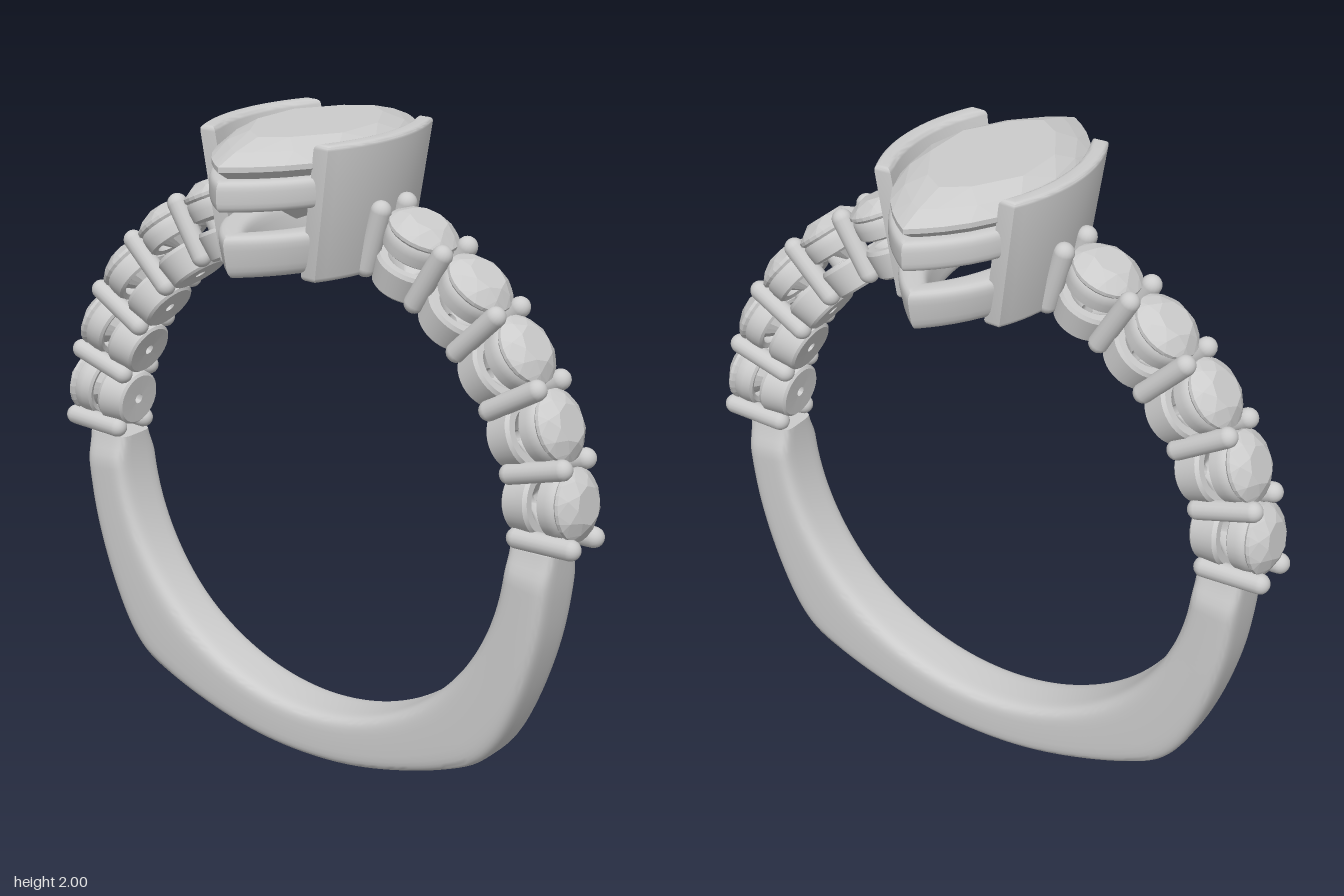
import * as THREE from 'three';
import { toCreasedNormals } from 'three/addons/utils/BufferGeometryUtils.js';
import { ConvexGeometry } from 'three/addons/geometries/ConvexGeometry.js';

const CY = 0.89;       // height of the finger hole's centre
const INNER = 0.73;    // finger hole radius
const W = 0.235, L = 0.45; // half width and half length of the pointed oval
const material = new THREE.MeshStandardMaterial({ color: 0xcccccc });
const V = (x, y, z) => new THREE.Vector3(x, y, z);
const rad = THREE.MathUtils.degToRad;

function addMesh(parent, name, geometry) {
  const mesh = new THREE.Mesh(geometry, material);
  mesh.name = name;
  parent.add(mesh);
  return mesh;
}

// Skin a list of closed rings that all have the same number of points
function loft(rings, closed, crease) {
  const n = rings[0].length, index = [];
  const count = closed ? rings.length : rings.length - 1;
  for (let i = 0; i < count; i++) {
    const k = (i + 1) % rings.length;
    for (let j = 0; j < n; j++) {
      const m = (j + 1) % n;
      const a = i * n + j, b = i * n + m, c = k * n + m, d = k * n + j;
      index.push(a, b, d, b, c, d);
    }
  }
  const g = new THREE.BufferGeometry().setFromPoints(rings.flat());
  g.setIndex(index);
  return toCreasedNormals(g, crease);
}

// Rounded rectangle as a superellipse, centred on the origin
function roundedSection(a, b, power, count) {
  return Array.from({ length: count }, (_, i) => {
    const t = (i + 0.5) / count * Math.PI * 2, c = Math.cos(t), s = Math.sin(t);
    return [a * Math.sign(c) * Math.abs(c) ** (2 / power), b * Math.sign(s) * Math.abs(s) ** (2 / power)];
  });
}

// x of a pointed oval made of two arcs
function ovalX(z, w, l) {
  const R = (l * l + w * w) / (2 * w);
  return Math.sqrt(Math.max(0, R * R - z * z)) - (R - w);
}

function ovalRing(w, l, y, half) {
  const pts = [];
  for (const s of [1, -1]) {
    for (let i = 0; i < half; i++) {
      const z = -s * l * Math.cos(i / half * Math.PI);
      pts.push(V(s * ovalX(z, w, l), y, z));
    }
  }
  return pts;
}

// Lower half of the band, with its squared shoulders
function shankGeometry() {
  const side = [[0.885, 0.885], [0.873, 0.74], [0.845, 0.58], [0.785, 0.39], [0.71, 0.235], [0.645, 0.163], [0.54, 0.11], [0.36, 0.05], [0.18, 0.012]];
  const pts = [...side, [0, 0], ...side.slice().reverse().map(([x, y]) => [-x, y])];
  const path = new THREE.CatmullRomCurve3(pts.map(([x, y]) => V(x, y, 0)));
  const section = roundedSection(1, 1, 5, 36), centre = V(0, CY, 0);
  const rings = path.getSpacedPoints(120).map((p) => {
    const dir = p.clone().sub(centre), outer = dir.length();
    dir.normalize();
    const width = 0.096 - 0.028 * THREE.MathUtils.smoothstep(p.y, 0.78, 0.9);
    return section.map(([u, v]) => {
      const q = dir.clone().multiplyScalar((outer + INNER) / 2 + u * (outer - INNER) / 2).add(centre);
      q.z = v * width;
      return q;
    });
  });
  const cap = (ring) => {
    const mid = ring.reduce((s, p) => s.add(p), V(0, 0, 0)).divideScalar(ring.length);
    return ring.map(() => mid.clone());
  };
  return loft([cap(rings[0]), ...rings, cap(rings.at(-1))], false, 0.6);
}

// Rail around the pointed oval; lean makes it narrower towards the bottom
function railGeometry(offset, y, a, b, lean) {
  const rings = roundedSection(a, b, 4, 24).map(([u, v]) => {
    const d = offset + u - v * lean;
    return ovalRing(W + d, L + d, y - v, 24);
  });
  return loft(rings, true, 0.7);
}

// Curved wall that hugs one long side of the large stone
function wallGeometry() {
  const bevel = 0.015, end = 0.235, steps = 20, shape = new THREE.Shape();
  const zs = Array.from({ length: steps + 1 }, (_, i) => -end + 2 * end * i / steps);
  const arc = (z, out) => new THREE.Vector2(ovalX(z, W, L) + out, z);
  shape.setFromPoints([
    ...zs.map((z) => arc(z, 0.055 - bevel)),
    ...zs.slice().reverse().map((z) => arc(z, bevel)),
  ]);
  const g = new THREE.ExtrudeGeometry(shape, {
    depth: 0.405 - 2 * bevel, bevelThickness: bevel, bevelSize: bevel, bevelSegments: 4, steps: 1,
  });
  g.rotateX(-Math.PI / 2).translate(0, 1.595 + bevel, 0);
  const p = g.attributes.position;
  for (let i = 0; i < p.count; i++) {
    const drop = 2 - p.getY(i);
    p.setX(i, p.getX(i) - 0.15 * drop);
    p.setZ(i, p.getZ(i) * (1 - 0.15 * drop));
  }
  return toCreasedNormals(g, 0.7);
}

function largeStoneGeometry() {
  return new ConvexGeometry([
    ...ovalRing(0.165, 0.27, 2.0, 5),
    ...ovalRing(0.208, 0.37, 1.974, 8),
    ...ovalRing(0.232, 0.445, 1.945, 16),
    ...ovalRing(0.232, 0.445, 1.93, 16),
    ...ovalRing(0.135, 0.29, 1.835, 6),
    V(0, 1.73, 0.1), V(0, 1.73, -0.1),
  ]);
}

// Small round cut stone; y is the distance from the finger hole's centre
function smallStoneGeometry() {
  const ring = (r, y, n, turn = 0) => Array.from({ length: n }, (_, i) => {
    const t = (i + turn) / n * Math.PI * 2;
    return V(r * Math.cos(t), y, r * Math.sin(t));
  });
  return new ConvexGeometry([
    ...ring(0.057, 0.968, 8), ...ring(0.085, 0.952, 8, 0.5),
    ...ring(0.106, 0.932, 24), ...ring(0.106, 0.922, 24),
    ...ring(0.055, 0.865, 8, 0.5), V(0, 0.81, 0),
  ]);
}

function latheGeometry(profile, crease) {
  const pts = profile.map(([r, y]) => new THREE.Vector2(r, y));
  return toCreasedNormals(new THREE.LatheGeometry([...pts, pts[0]], 32), crease);
}

export function createModel() {
  const model = new THREE.Group();
  model.name = 'ring';
  addMesh(model, 'shank', shankGeometry());

  // Head with the large stone
  const head = new THREE.Group();
  head.name = 'head';
  model.add(head);
  addMesh(head, 'upperRail', railGeometry(-0.04, 1.86, 0.045, 0.045, 0));
  addMesh(head, 'lowerRail', railGeometry(-0.08, 1.68, 0.052, 0.064, 0.2));
  addMesh(head, 'largeStone', largeStoneGeometry());
  const wall = wallGeometry();

  // Shared parts of the small settings
  const stone = smallStoneGeometry();
  const cup = latheGeometry([[0.016, 0.73], [0.08, 0.728], [0.088, 0.735], [0.1, 0.81], [0.094, 0.822], [0.07, 0.822], [0.016, 0.775]], 0.6);
  const collar = latheGeometry([[0.075, 0.858], [0.09, 0.852], [0.099, 0.858], [0.103, 0.885], [0.103, 0.908], [0.097, 0.917], [0.085, 0.915]], 0.8);
  const prong = new THREE.CapsuleGeometry(0.031, 0.178, 8, 16).translate(0, 0.85, 0);

  for (const [label, turn] of [['left', 0], ['right', Math.PI]]) {
    const half = new THREE.Group();
    half.name = label + 'Shoulder';
    half.rotation.y = turn;
    model.add(half);
    addMesh(half, label + 'Wall', wall);

    const radial = (name, degrees) => {
      const g = new THREE.Group();
      g.name = name;
      g.position.y = CY;
      g.rotation.z = rad(degrees - 90);
      half.add(g);
      return g;
    };
    for (let i = 0; i < 5; i++) {
      const setting = radial('smallSetting', 9 + 14.2 * i);
      addMesh(setting, 'smallStone', stone);
      addMesh(setting, 'cup', cup);
      addMesh(setting, 'collar', collar);
    }
    for (let i = 0; i < 6; i++) {
      const pair = radial('prongPair', 2 + 14.2 * i);
      for (const z of [0.062, -0.062]) addMesh(pair, 'prong', prong).position.z = z;
    }
  }
  return model;
}
